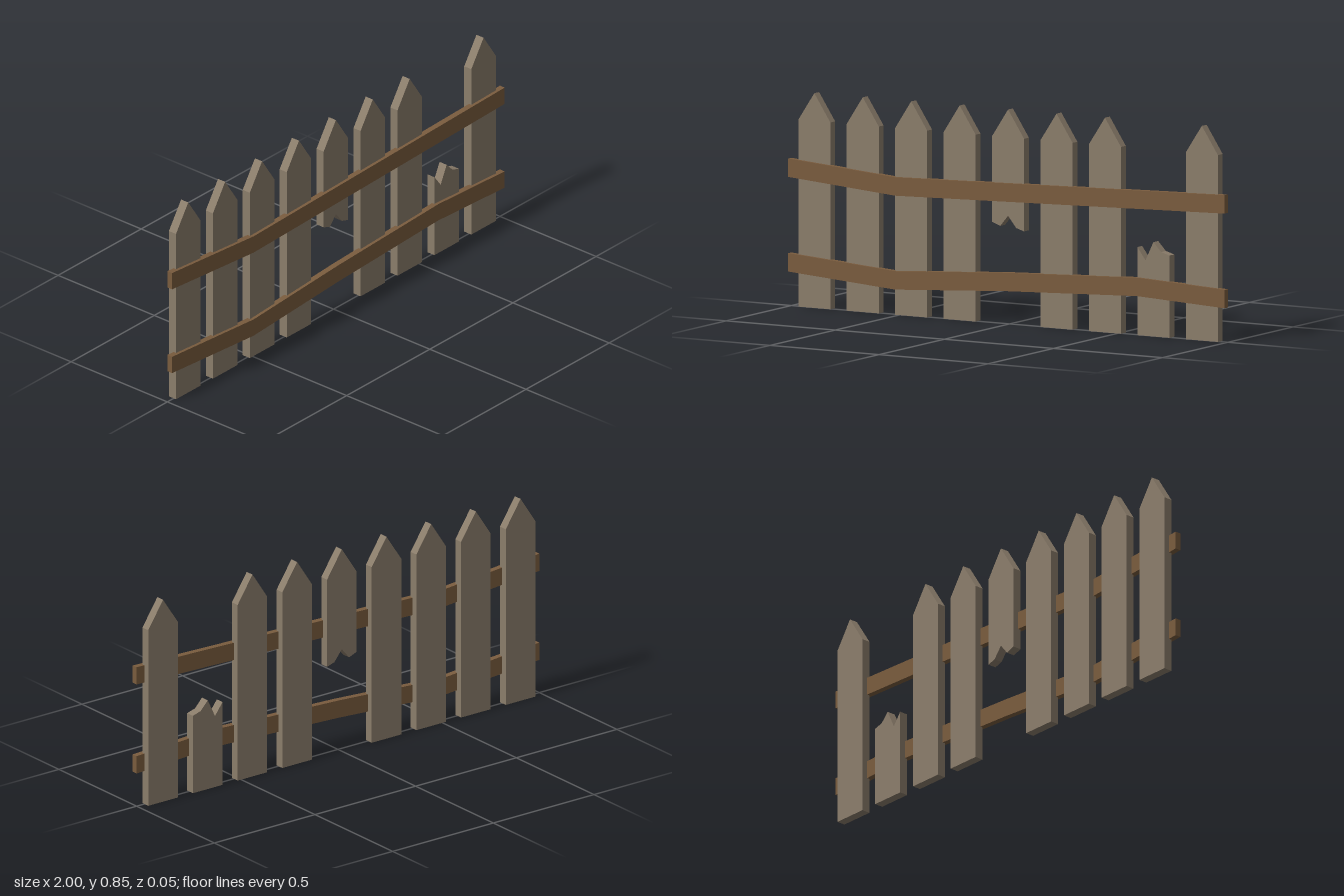
import * as THREE from 'three';

const WIDTH = 0.147, SPACING = 0.222, SHOULDER = 0.742, TIP = 0.853;
const HALF = WIDTH / 2;

// Flat board cut from an outline, spanning zBack to zFront
function board(name, points, zBack, zFront, material) {
  const shape = new THREE.Shape(points.map(([x, y]) => new THREE.Vector2(x, y)));
  const geometry = new THREE.ExtrudeGeometry(shape, { depth: zFront - zBack, bevelEnabled: false });
  geometry.translate(0, 0, zBack);
  const mesh = new THREE.Mesh(geometry, material);
  mesh.name = name;
  return mesh;
}

// Rail of constant height following a sagging top edge
function rail(name, topEdge, material) {
  const bottomEdge = topEdge.map(([x, y]) => [x, y - 0.073]);
  return board(name, [...bottomEdge, ...topEdge.slice().reverse()], 0, 0.025, material);
}

export function createModel() {
  const fence = new THREE.Group();
  fence.name = 'brokenPicketFence';
  const greyWood = new THREE.MeshStandardMaterial({ color: 0x8b7d6b, flatShading: true });
  const brownWood = new THREE.MeshStandardMaterial({ color: 0x7a5c3e, flatShading: true });

  // Edges of the pickets, left to right
  const flatBottom = [[-HALF, 0], [HALF, 0]];
  const pointedTop = [[-HALF, SHOULDER], [0, TIP], [HALF, SHOULDER]];
  const splinteredBottom = [[-HALF, 0.402], [-0.036, 0.388], [0, 0.431], [0.037, 0.385], [HALF, 0.374]];
  const splinteredTop = [[-HALF, 0.35], [-0.036, 0.3], [0, 0.375], [0.035, 0.338], [HALF, 0.327]];

  // Nine pickets: the middle one lost its foot, the eighth is a stump
  for (let i = 0; i < 9; i++) {
    const hanging = i === 4, stump = i === 7;
    const bottom = hanging ? splinteredBottom : flatBottom;
    const top = stump ? splinteredTop : pointedTop;
    const name = hanging ? 'hangingPicket' : stump ? 'picketStump' : `picket${i + 1}`;
    const picket = board(name, [...bottom, ...top.slice().reverse()], -0.025, 0.012, greyWood);
    picket.position.x = (i - 4) * SPACING;
    fence.add(picket);
  }

  // Two bent rails across the front
  fence.add(rail('upperRail', [[-1, 0.587], [-0.51, 0.548], [1, 0.587]], brownWood));
  fence.add(rail('lowerRail', [[-1, 0.211], [-0.51, 0.175], [0, 0.206], [0.6, 0.23], [1, 0.211]], brownWood));
  return fence;
}
